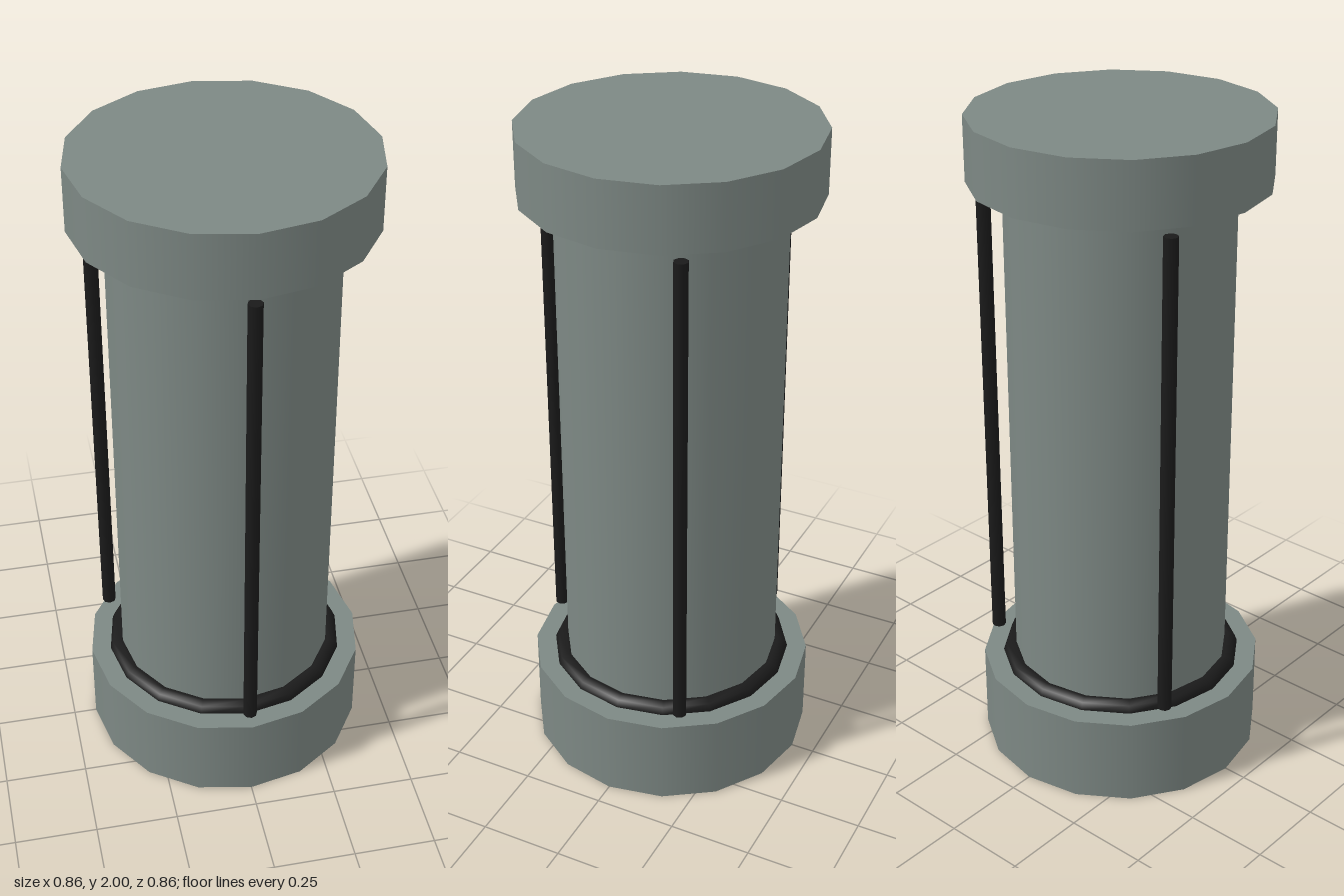
import * as THREE from 'three';

export function createModel() {
  const model = new THREE.Group();
  model.name = 'canister';

  const grey = new THREE.MeshStandardMaterial({ color: 0x7d8884 });
  grey.name = 'grey green metal';
  const black = new THREE.MeshStandardMaterial({ color: 0x1a1a1a });
  black.name = 'black trim';

  const add = (name, geometry, material, x, y, z) => {
    const mesh = new THREE.Mesh(geometry, material);
    mesh.name = name;
    mesh.position.set(x, y, z);
    model.add(mesh);
    return mesh;
  };

  // Upright cylinder between two heights
  const column = (name, radius, y0, y1, sides, material, x = 0, z = 0) =>
    add(name, new THREE.CylinderGeometry(radius, radius, y1 - y0, sides), material, x, (y0 + y1) / 2, z);

  // Main tube with its end caps
  column('base', 0.43, 0, 0.27, 16, grey);
  column('body', 0.33, 0.27, 1.81, 16, grey);
  column('cap', 0.43, 1.81, 2, 16, grey);

  // Seal rings, half sunk into the end caps
  for (const [name, y] of [['lowerRing', 0.27], ['upperRing', 1.81]]) {
    const ring = new THREE.TorusGeometry(0.34, 0.03, 8, 16).rotateX(Math.PI / 2);
    add(name, ring, black, 0, y, 0);
  }

  // Three free-standing rods around the body, one at the front
  for (let i = 0; i < 3; i++) {
    const a = (i * Math.PI * 2) / 3;
    column(`rod${i + 1}`, 0.021, 0.3, 1.78, 8, black, 0.397 * Math.sin(a), 0.397 * Math.cos(a));
  }

  return model;
}
